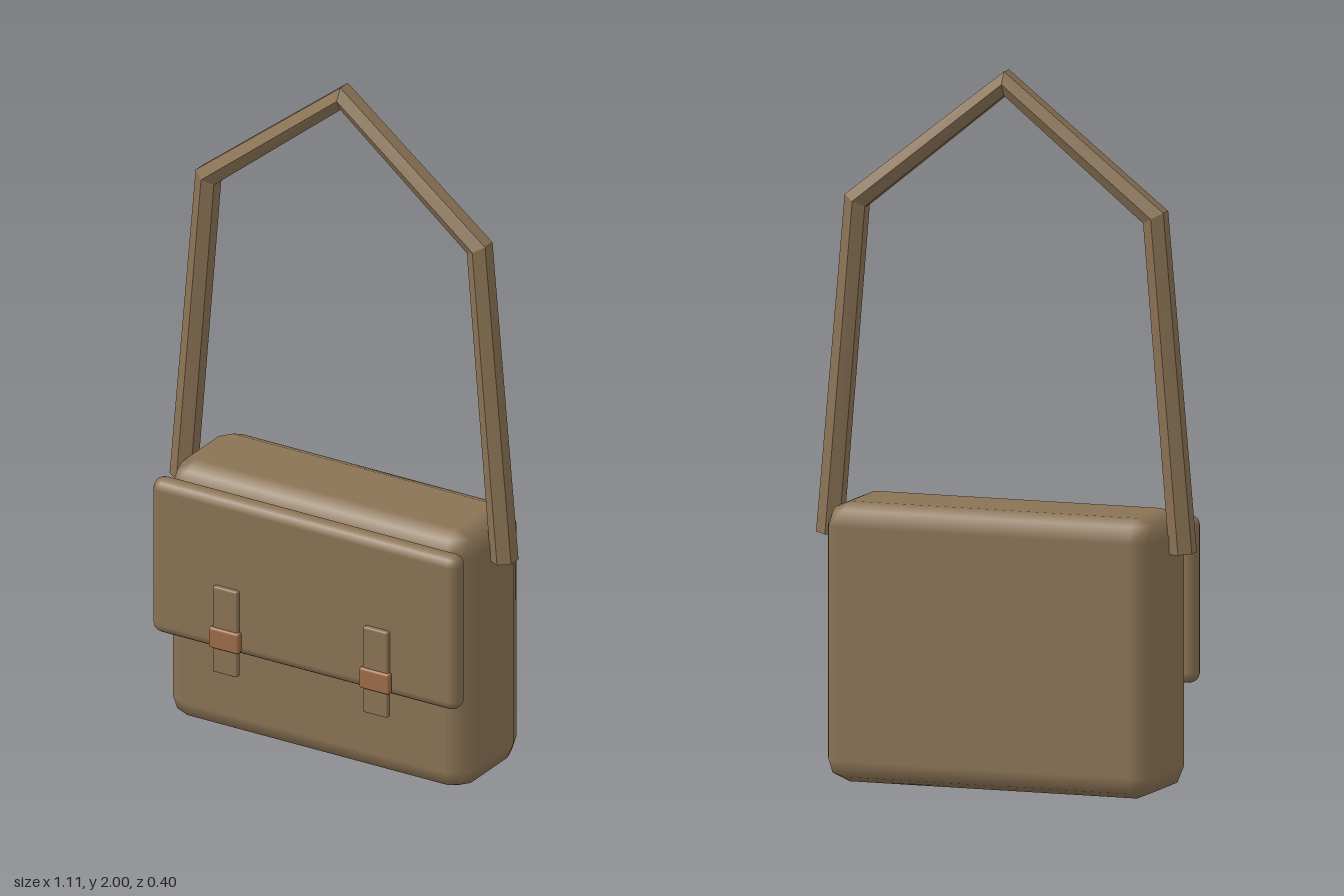
import * as THREE from 'three';
import { RoundedBoxGeometry } from 'three/addons/geometries/RoundedBoxGeometry.js';

const leather = new THREE.MeshStandardMaterial({ color: 0x8b7355 });
leather.name = 'brown leather';
const copper = new THREE.MeshStandardMaterial({ color: 0x9e6b47 });
copper.name = 'copper buckle';

// Rounded box given by its [min, max] range on each axis
function roundedBox(name, [x0, x1], [y0, y1], [z0, z1], radius, segments, material) {
  const geometry = new RoundedBoxGeometry(x1 - x0, y1 - y0, z1 - z0, segments, radius);
  const mesh = new THREE.Mesh(geometry, material);
  mesh.position.set((x0 + x1) / 2, (y0 + y1) / 2, (z0 + z1) / 2);
  mesh.name = name;
  return mesh;
}

// Faceted, capped bar swept along points in the XY plane
function sweptBar(points, radius, sides) {
  const positions = [];
  const index = [];
  const last = points.length - 1;
  points.forEach((p, i) => {
    // Section turns with the average of the neighbouring directions
    const before = p.clone().sub(points[Math.max(i - 1, 0)]).normalize();
    const after = points[Math.min(i + 1, last)].clone().sub(p).normalize();
    const t = before.add(after).normalize();
    for (let k = 0; k < sides; k++) {
      const a = (k / sides) * Math.PI * 2;
      const s = Math.sin(a) * radius;
      positions.push(p.x - t.y * s, p.y + t.x * s, Math.cos(a) * radius);
    }
  });
  for (let i = 0; i < last; i++) {
    for (let k = 0; k < sides; k++) {
      const a = i * sides + k;
      const b = i * sides + ((k + 1) % sides);
      index.push(a, a + sides, b + sides, a, b + sides, b);
    }
  }
  // End caps
  const end = last * sides;
  for (let k = 1; k < sides - 1; k++) {
    index.push(0, k, k + 1, end, end + k + 1, end + k);
  }
  const geometry = new THREE.BufferGeometry();
  geometry.setAttribute('position', new THREE.Float32BufferAttribute(positions, 3));
  geometry.setIndex(index);
  const faceted = geometry.toNonIndexed();
  faceted.computeVertexNormals();
  return faceted;
}

export function createModel() {
  const bag = new THREE.Group();
  bag.name = 'satchel';

  // Main compartment and front flap
  bag.add(roundedBox('body', [-0.49, 0.49], [0, 0.785], [-0.203, 0.118], 0.065, 1, leather));
  bag.add(roundedBox('flap', [-0.5, 0.5], [0.285, 0.755], [0.114, 0.177], 0.03, 2, leather));

  // Closing straps with buckles
  for (const [side, x] of [['left', 0.245], ['right', -0.245]]) {
    const closure = new THREE.Group();
    closure.name = side + 'Closure';
    closure.add(roundedBox('closingStrap', [x - 0.04, x + 0.04], [0.225, 0.487], [0.174, 0.193], 0.005, 1, leather));
    closure.add(roundedBox('buckle', [x - 0.049, x + 0.049], [0.3, 0.363], [0.178, 0.2], 0.007, 1, copper));
    bag.add(closure);
  }

  // Shoulder strap
  const path = [[-0.523, 0.677], [-0.442, 1.614], [0, 1.966], [0.442, 1.614], [0.523, 0.677]]
    .map(([x, y]) => new THREE.Vector2(x, y));
  const strap = new THREE.Mesh(sweptBar(path, 0.039, 6), leather);
  strap.name = 'shoulderStrap';
  strap.position.z = -0.039;
  bag.add(strap);

  return bag;
}
